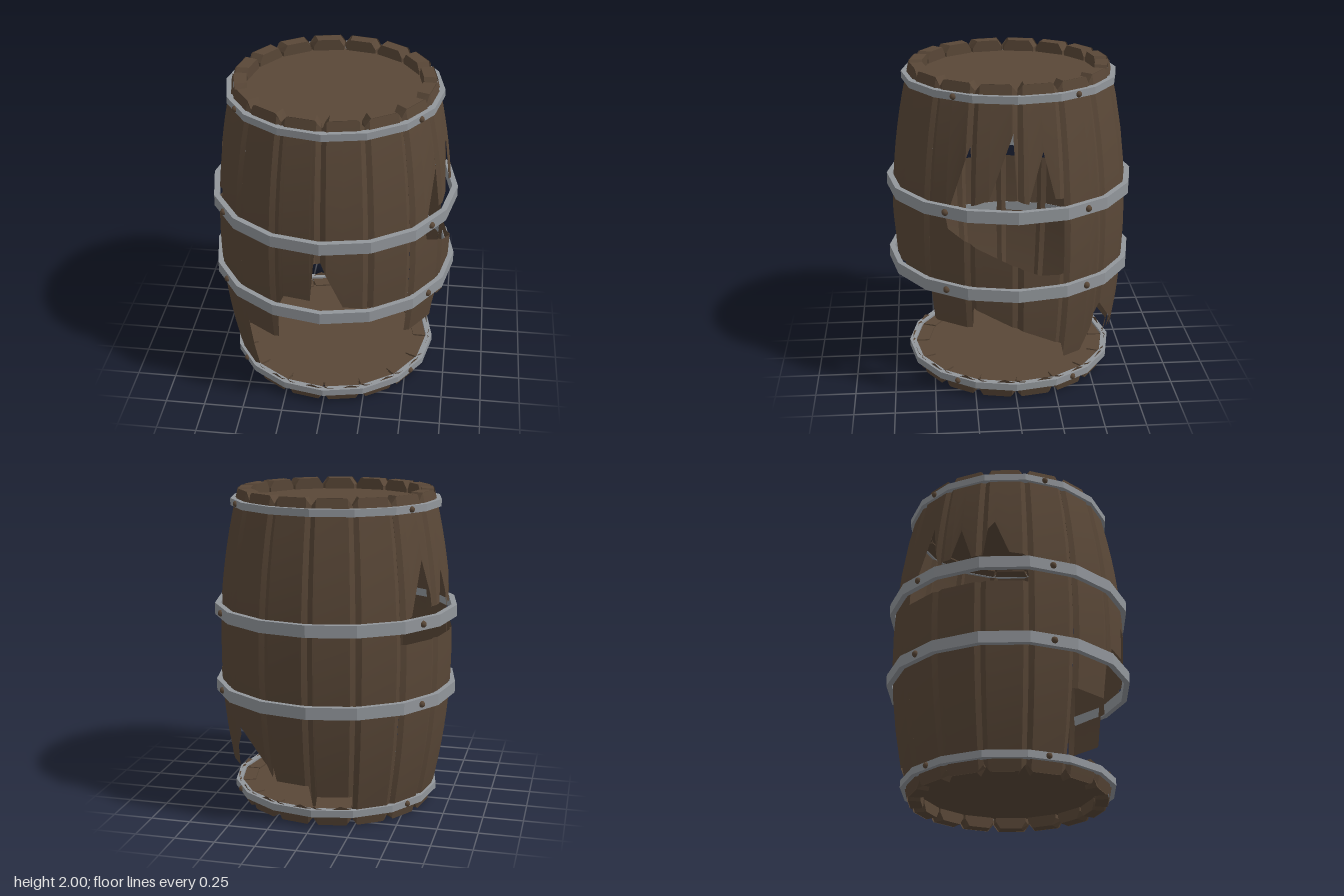
import * as THREE from 'three';
import { mergeGeometries } from 'three/addons/utils/BufferGeometryUtils.js';

const N = 16, STEP = (Math.PI * 2) / N, HALF = Math.tan(STEP / 2);
const wood = new THREE.MeshStandardMaterial({ color: 0x594737, side: THREE.DoubleSide });
wood.name = 'dark wood';
const metal = new THREE.MeshStandardMaterial({ color: 0x92969b, side: THREE.DoubleSide });
metal.name = 'grey metal';

// Barrel bulge: distance from the axis to the flat of a stave
const bulge = (y) => 0.73 - 0.125 * (y - 1) ** 2;

// Height of a polyline [[s, y], ...] at s
function heightAt(line, s) {
  for (let i = 1; i < line.length; i++) {
    const [s0, y0] = line[i - 1], [s1, y1] = line[i];
    if (s <= s1) return y0 + (y1 - y0) * THREE.MathUtils.clamp((s - s0) / (s1 - s0), 0, 1);
  }
  return line[line.length - 1][1];
}

// Jagged stubs left standing in the bottom hoop
const stubs = [];
for (let k = -5; k < 6; k++) stubs.push([k, 0.11], [k + 0.3, 0.135], [k + 0.55, 0.105], [k + 0.97, 0.125]);
stubs.push([6, 0.12]);

// Holes as lower and upper broken edges; s counts staves round from +x towards +z
const holes = [
  { // large break low at the front, side and back
    lo: stubs,
    hi: [[-5, 0.2], [-4.15, 0.2], [-4.1, 0.13], [-4.02, 0.13], [-3.95, 0.27], [-3.15, 0.27], [-3.1, 0.36],
      [-3, 0.28], [-2.9, 0.37], [-2.1, 0.57], [-1.65, 0.27], [-1.15, 0.27], [-1.05, 0.37], [0.95, 0.65],
      [1, 0.51], [2, 0.51], [2.02, 0.72], [2.9, 0.79], [3.53, 0.82], [4.11, 1.21], [4.22, 0.86], [4.8, 0.86],
      [4.97, 0.74], [5.02, 0.51], [6, 0.51]],
  },
  { // splintered hole on the left side
    lo: [[-1, 0.86], [-0.46, 0.87], [0.73, 1.03], [1.08, 1.08], [1.5, 1.14], [1.55, 1.2], [2, 1.2]],
    hi: [[-1, 1.33], [-0.78, 1.34], [-0.55, 1.62], [-0.22, 1.32], [0.03, 1.34], [0.1, 1.73], [0.6, 1.34],
      [0.98, 1.3], [1.03, 1.65], [1.55, 1.2], [2, 1.2]],
  },
  { // splintered hole on the right side
    lo: [[7, 1.14], [10, 1.14]],
    hi: [[7, 1.32], [7.4, 1.34], [7.72, 1.57], [7.86, 1.52], [7.97, 1.33], [8.22, 1.32], [8.5, 1.54],
      [8.72, 1.34], [9.05, 1.33], [9.3, 1.62], [9.7, 1.3], [10, 1.27]],
  },
];

// Point on the outer face of stave k; u runs 0..1 across it, with chamfered long edges
function stavePoint(k, u, y) {
  const edge = Math.min(u, 1 - u);
  const r = bulge(y) - 0.02 * Math.max(0, 1 - edge / 0.12);
  const t = (u - 0.5) * 2 * r * HALF, a = (k + 0.5) * STEP;
  return [r * Math.cos(a) - t * Math.sin(a), y, r * Math.sin(a) + t * Math.cos(a)];
}

// Stave shell between a lower and an upper edge, one vertical strip per pair of columns
function panel(k, lo, hi) {
  const rows = 8;
  const cols = [0, 0.12, 0.15, 0.85, 0.88, 1];
  for (const [s] of [...lo, ...hi]) if (s > k && s < k + 1) cols.push(s - k);
  const us = [...new Set(cols.map((c) => +c.toFixed(4)))].sort((a, b) => a - b);
  const strips = [];
  for (let i = 1; i < us.length; i++) {
    const pos = [], idx = [];
    for (let j = 0; j <= rows; j++) {
      for (const u of [us[i - 1], us[i]]) {
        const a = heightAt(lo, k + u), b = heightAt(hi, k + u);
        pos.push(...stavePoint(k, u, a + ((b - a) * j) / rows));
      }
      if (j < rows) {
        const n = j * 2;
        idx.push(n, n + 2, n + 1, n + 1, n + 2, n + 3);
      }
    }
    const g = new THREE.BufferGeometry();
    g.setAttribute('position', new THREE.Float32BufferAttribute(pos, 3));
    g.setIndex(idx);
    g.computeVertexNormals();
    strips.push(g);
  }
  return mergeGeometries(strips);
}

function flat(g) {
  const f = g.index ? g.toNonIndexed() : g;
  f.computeVertexNormals();
  return f;
}

// Thick chamfered end block of one stave, at the bottom rim
function lipGeometry(k) {
  const shape = new THREE.Shape([[-1, 0.1], [-1, 0.045], [-0.7, 0], [0.7, 0], [1, 0.045], [1, 0.1]]
    .map(([x, y]) => new THREE.Vector2(x, y)));
  const g = new THREE.ExtrudeGeometry(shape, { depth: 1, bevelEnabled: false });
  const p = g.attributes.position, a = (k + 0.5) * STEP;
  for (let i = 0; i < p.count; i++) {
    const y = p.getY(i), inner = p.getZ(i) > 0.5;
    const r = inner ? 0.525 : bulge(y) - 0.004 - (Math.abs(p.getX(i)) > 0.9 ? 0.018 : 0);
    const t = p.getX(i) * r * HALF * (inner ? 0.92 : 0.95);
    p.setXYZ(i, r * Math.cos(a) - t * Math.sin(a), y, r * Math.sin(a) + t * Math.cos(a));
  }
  return flat(g);
}

export function createModel() {
  const group = new THREE.Group();
  const add = (name, geometry, material, y = 0) => {
    const m = new THREE.Mesh(geometry, material);
    m.name = name;
    m.position.y = y;
    group.add(m);
    return m;
  };

  // Staves, split wherever a hole crosses them
  for (let k = -5; k < 11; k++) {
    const end = (y, dy) => [[k, y + dy], [k + 0.15, y], [k + 0.85, y], [k + 1, y + dy]];
    const parts = [];
    let lo = end(0, 0.045);
    for (const h of holes) {
      if (k < h.lo[0][0] || k + 1 > h.lo[h.lo.length - 1][0]) continue;
      parts.push(panel(k, lo, h.lo));
      lo = h.hi;
    }
    parts.push(panel(k, lo, end(2, -0.045)));
    add('stave', mergeGeometries(parts), wood);
  }

  // Rims of thick stave ends
  const lips = mergeGeometries(Array.from({ length: N }, (_, k) => lipGeometry(k)));
  add('bottomRim', lips, wood);
  add('topRim', lips, wood, 2).rotation.x = Math.PI;

  // Lids
  const lid = flat(new THREE.CylinderGeometry(0.555, 0.555, 0.02, N));
  add('bottomLid', lid, wood, 0.08);
  add('topLid', lid, wood, 1.92);

  // Hoops with four rivets each
  const hoops = [
    ['bottomHoop', 0.09, 0.66, 0.62, 0.022], ['lowerHoop', 0.76, 0.77, 0.735, 0.037],
    ['upperHoop', 1.253, 0.77, 0.735, 0.037], ['topHoop', 1.92, 0.66, 0.62, 0.022],
  ];
  for (const [name, y, outer, inner, h] of hoops) {
    const profile = [[inner, -h], [outer, -h], [outer, h], [inner, h], [inner, -h]];
    add(name, flat(new THREE.LatheGeometry(profile.map(([r, v]) => new THREE.Vector2(r, v)), N)), metal, y);
    for (const s of [1.5, 6.5, 9.5, 14.5]) {
      const r = outer * Math.cos(STEP / 2);
      const rivet = add('rivet', new THREE.SphereGeometry(name.length > 9 || h < 0.03 ? 0.019 : 0.021, 10, 8), wood, y);
      rivet.position.x = r * Math.cos(s * STEP);
      rivet.position.z = r * Math.sin(s * STEP);
    }
  }
  return group;
}
